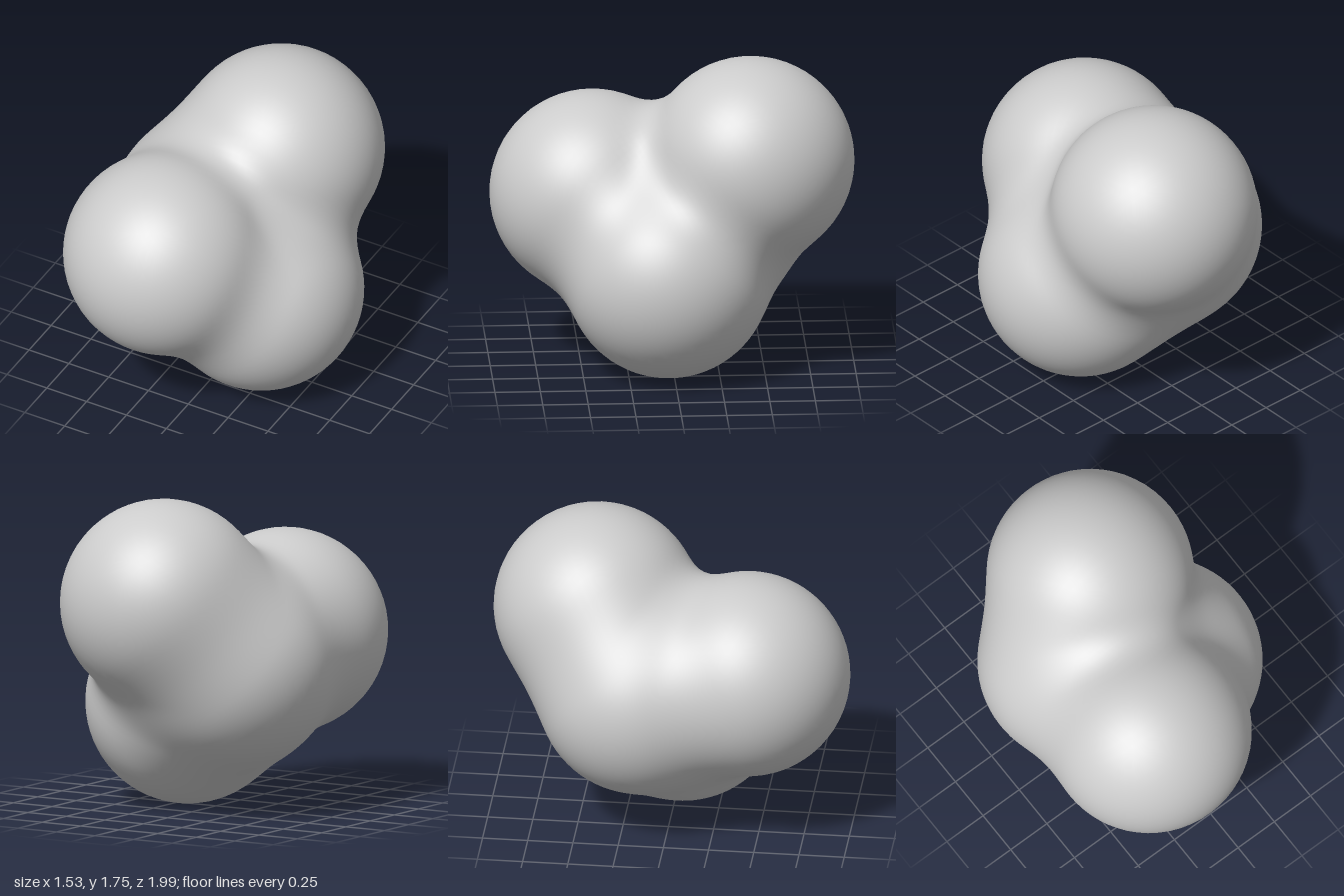
import * as THREE from 'three';
import { mergeVertices } from 'three/addons/utils/BufferGeometryUtils.js';

// Four overlapping balls that melt into one another: x, y, z, radius
const BALLS = [
  [-0.18, 0.94, 0.43, 0.565], // front
  [0.07, 1.185, -0.43, 0.57], // upper back
  [0.2, 0.565, 0.03, 0.565],  // lower left
  [-0.2, 0.81, -0.16, 0.57],  // right side
];
const BLEND = 0.2;
const CORE = new THREE.Vector3(0, 0.88, -0.03);

// Distance to the blended surface, negative inside
function distance(p) {
  let d = Infinity;
  for (const [x, y, z, r] of BALLS) {
    const e = Math.hypot(p.x - x, p.y - y, p.z - z) - r;
    const h = Math.max(BLEND - Math.abs(d - e), 0) / BLEND;
    d = Math.min(d, e) - h * h * BLEND * 0.25;
  }
  return d;
}

// Find where a ray from the core leaves the blob
function project(direction) {
  const p = new THREE.Vector3();
  let near = 0, far = 1.6;
  for (let i = 0; i < 30; i++) {
    const mid = (near + far) / 2;
    p.copy(CORE).addScaledVector(direction, mid);
    if (distance(p) < 0) near = mid;
    else far = mid;
  }
  return p;
}

export function createModel() {
  const group = new THREE.Group();
  group.name = 'blobModel';

  // Shared vertices give smooth normals
  let geometry = new THREE.IcosahedronGeometry(1, 18);
  geometry.deleteAttribute('normal');
  geometry.deleteAttribute('uv');
  geometry = mergeVertices(geometry, 1e-4);

  // Push every vertex of the sphere out to the blended surface
  const position = geometry.attributes.position;
  const v = new THREE.Vector3();
  for (let i = 0; i < position.count; i++) {
    const p = project(v.fromBufferAttribute(position, i).normalize());
    position.setXYZ(i, p.x, p.y, p.z);
  }
  geometry.computeVertexNormals();

  const blob = new THREE.Mesh(geometry, new THREE.MeshStandardMaterial({ color: 0xcccccc }));
  blob.name = 'mergedBalls';
  group.add(blob);
  return group;
}
